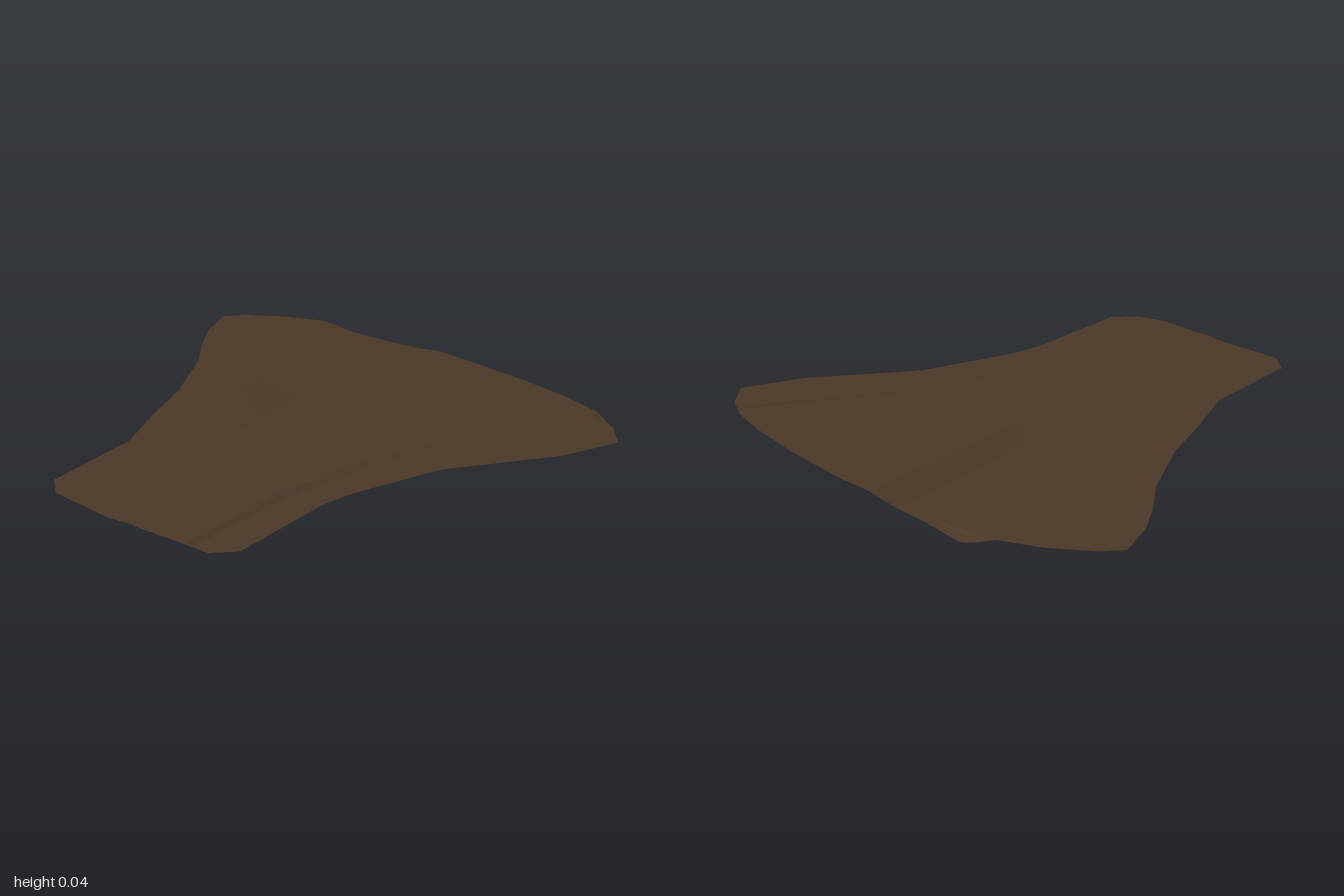
import * as THREE from 'three';

// Outline as [z, x], running from the front edge to the back tip
const leftSide = [[0.97, -0.2], [0.955, -0.46], [0.885, -0.535], [0.47, -0.525], [0.24, -0.6], [-0.01, -0.67],
  [-0.28, -0.79], [-0.41, -0.88], [-0.55, -0.955], [-0.71, -1], [-0.78, -0.93], [-0.875, -0.78],
  [-0.93, -0.64], [-0.965, -0.54], [-0.98, -0.48]];
const rightSide = [[0.97, 0.14], [0.955, 0.26], [0.88, 0.345], [0.43, 0.375], [0.3, 0.41], [-0.06, 0.57],
  [-0.43, 0.88], [-0.66, 1], [-0.765, 0.92], [-0.84, 0.8], [-0.885, 0.65], [-0.928, 0.42],
  [-0.96, 0.13], [-0.968, -0.1], [-0.97, -0.3], [-0.98, -0.48]];

// Lengthwise creases: path as [z, x], height at the front and at the back
const creases = [
  { path: [[0.97, -0.42], [0.2, -0.44], [-0.98, -0.62]], front: 0.042, back: 0.04 },
  { path: [[0.97, -0.28], [-0.98, -0.28]], front: 0.031, back: 0.014 },
  { path: [[0.97, -0.17], [-0.98, -0.16]], front: 0.033, back: 0.017 },
  { path: [[0.97, -0.08], [0.2, -0.06], [-0.98, -0.04]], front: 0.042, back: 0.04 },
  { path: [[0.97, -0.05], [0, -0.02], [-0.98, 0.12]], front: 0.038, back: 0.036 },
  { path: [[0.97, 0.16], [0.5, 0.2], [0.1, 0.29], [-0.3, 0.47], [-0.75, 0.8], [-0.98, 0.92]], front: 0.042, back: 0.042 },
  { path: [[0.97, 0.19], [0.5, 0.23], [0.1, 0.33], [-0.3, 0.52], [-0.75, 0.86], [-0.98, 0.98]], front: 0.031, back: 0.03 },
];

// Linear interpolation along pairs [key, value], in either key direction
function along(pairs, key) {
  for (let i = 1; i < pairs.length; i++) {
    const [k0, v0] = pairs[i - 1], [k1, v1] = pairs[i];
    if ((key - k0) * (key - k1) <= 0 && k0 !== k1) return v0 + (v1 - v0) * (key - k0) / (k1 - k0);
  }
  const first = pairs[0], last = pairs[pairs.length - 1];
  return Math.abs(key - first[0]) < Math.abs(key - last[0]) ? first[1] : last[1];
}

// Height of the folded sheet; the left trough deepens toward the back
function height(x, z) {
  const sink = THREE.MathUtils.smoothstep(-z, -0.1, 0.35);
  const profile = creases.map(c => [along(c.path, z), c.front + (c.back - c.front) * sink]);
  const y = along([[-1.1, 0.045], ...profile, [1.2, 0.034]], x);
  // small turned-down tip on the back edge
  const tip = Math.max(0, 1 - Math.hypot((x + 0.48) / 0.2, (z + 0.98) / 0.05));
  return y * (1 - tip);
}

function buildSheet() {
  const zs = [...new Set([...leftSide, ...rightSide].map(p => p[0]).concat([0.7, 0.1, -0.2, -0.94]))].sort((a, b) => b - a);
  // each row runs from the left outline to the right outline through the creases
  const rows = zs.map(z => {
    const x0 = along(leftSide, z), x1 = along(rightSide, z);
    const xs = [x0, ...creases.map(c => THREE.MathUtils.clamp(along(c.path, z), x0, x1)), x1];
    return xs.map(x => new THREE.Vector3(x, height(x, z), z));
  });
  const positions = [];
  const face = (a, b, c) => {
    const area = b.clone().sub(a).cross(c.clone().sub(a)).length();
    if (area > 1e-7) for (const p of [a, b, c]) positions.push(p.x, p.y, p.z);
  };
  for (let i = 0; i < rows.length - 1; i++) {
    for (let j = 0; j < rows[i].length - 1; j++) {
      const a = rows[i][j], b = rows[i][j + 1], c = rows[i + 1][j], d = rows[i + 1][j + 1];
      face(a, b, c);
      face(b, d, c);
    }
  }
  const geometry = new THREE.BufferGeometry();
  geometry.setAttribute('position', new THREE.Float32BufferAttribute(positions, 3));
  geometry.computeVertexNormals();
  return geometry;
}

export function createModel() {
  const group = new THREE.Group();
  group.name = 'groundPatch';
  const earth = new THREE.MeshStandardMaterial({ color: 0x4a3726, flatShading: true, side: THREE.DoubleSide });
  earth.name = 'earth brown';
  const sheet = new THREE.Mesh(buildSheet(), earth);
  sheet.name = 'foldedSheet';
  group.add(sheet);
  return group;
}
